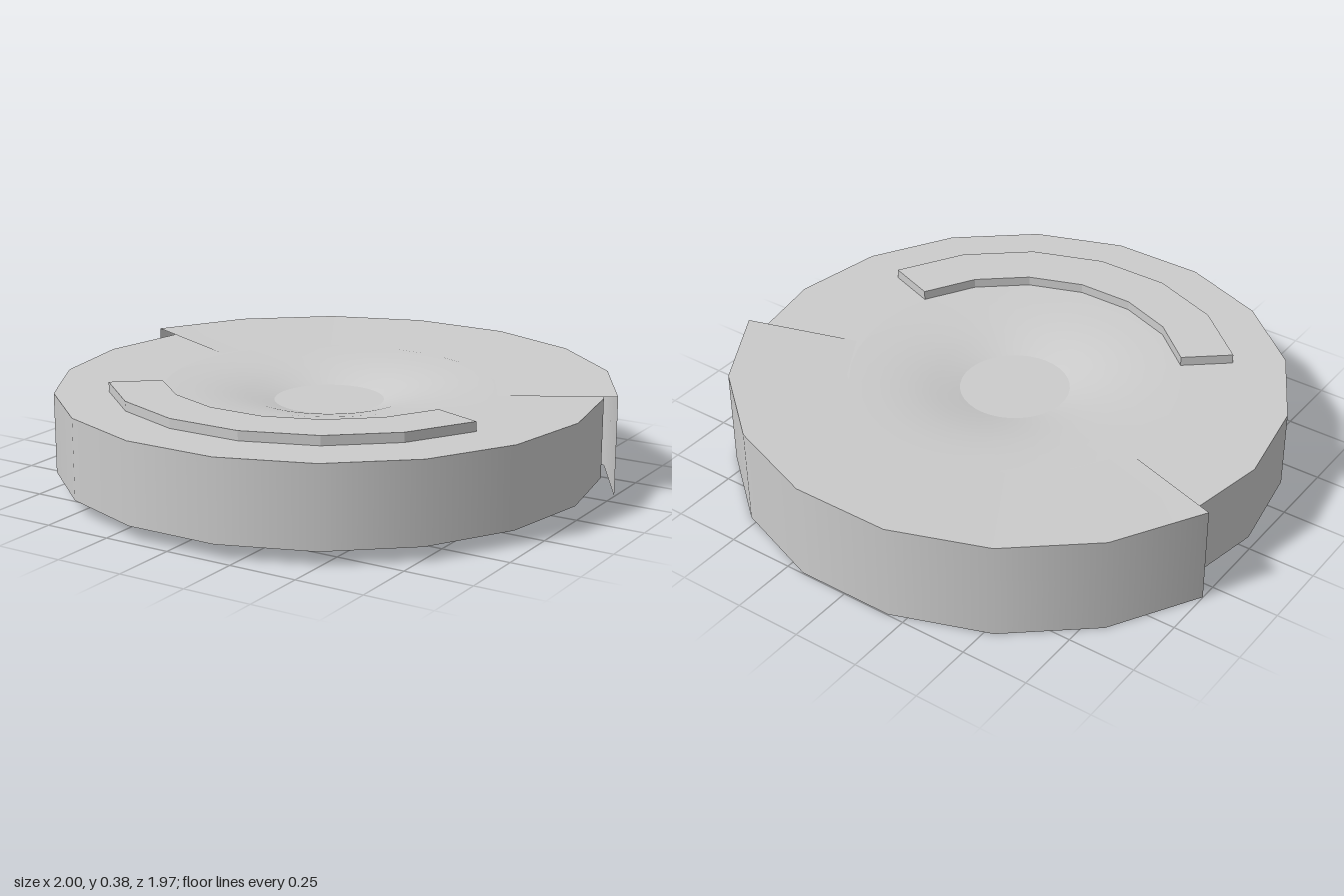
import * as THREE from 'three';

const DEG = Math.PI / 180;
const SIDES = 18, STEP = 20 * DEG;
const BASE = 0.05, TOP = 0.345;

const arc = (r, from, count, step) => Array.from({ length: count }, (_, i) =>
  new THREE.Vector2(r * Math.cos(from + i * step), r * Math.sin(from + i * step)));

export function createModel() {
  const group = new THREE.Group();
  const solid = new THREE.MeshStandardMaterial({ color: 0xcccccc });
  const thin = new THREE.MeshStandardMaterial({ color: 0xcccccc, side: THREE.DoubleSide });

  const add = (name, geometry, material, y = 0, z = 0) => {
    const mesh = new THREE.Mesh(geometry, material);
    mesh.name = name;
    mesh.position.set(0, y, z);
    group.add(mesh);
    return mesh;
  };

  // Disc body: smooth 18-sided wall, flat underside, flat top ring
  const R = 0.993;
  add('discWall', new THREE.CylinderGeometry(R, R, TOP - BASE, SIDES, 1, true, Math.PI / 2), solid, (TOP + BASE) / 2);
  add('discUnderside', new THREE.CircleGeometry(R, SIDES).rotateX(Math.PI / 2), solid, BASE);
  const ring = new THREE.Shape(arc(R, 0, SIDES, STEP));
  ring.holes.push(new THREE.Path(arc(0.6, 0, 36, STEP / 2)));
  add('discTop', new THREE.ShapeGeometry(ring).rotateX(-Math.PI / 2), solid, TOP);

  // Shallow dish sinking to a flat round centre
  const dish = [[0.6, TOP], [0.5, 0.341], [0.4, 0.331], [0.3, 0.314], [0.2, 0.288]]
    .map(([r, y]) => new THREE.Vector2(r, y));
  add('dish', new THREE.LatheGeometry(dish, 36, Math.PI / 2), solid);
  add('dishCentre', new THREE.CircleGeometry(0.2, 36).rotateX(-Math.PI / 2), solid, 0.288);

  // Rear cover: thin open skirt with a gently sloping top, set slightly forward
  const C = 1.063, start = 110 * DEG, sweep = 140 * DEG, H = 0.365;
  add('coverSkirt', new THREE.CylinderGeometry(C, C, H, 7, 1, true, start, sweep), thin, H / 2, 0.05);
  const slope = [new THREE.Vector2(C, H), new THREE.Vector2(0.638, TOP + 0.001)];
  add('coverTop', new THREE.LatheGeometry(slope, 7, start, sweep), thin, 0, 0.05);

  // Raised curved bar on the front half
  const bar = new THREE.Shape([
    ...arc(0.797, STEP, 7, STEP),
    ...arc(0.605, STEP, 7, STEP).reverse(),
  ]);
  const barGeometry = new THREE.ExtrudeGeometry(bar, { depth: 0.04, bevelEnabled: false }).rotateX(Math.PI / 2);
  add('raisedBar', barGeometry, solid, 0.38);

  return group;
}
